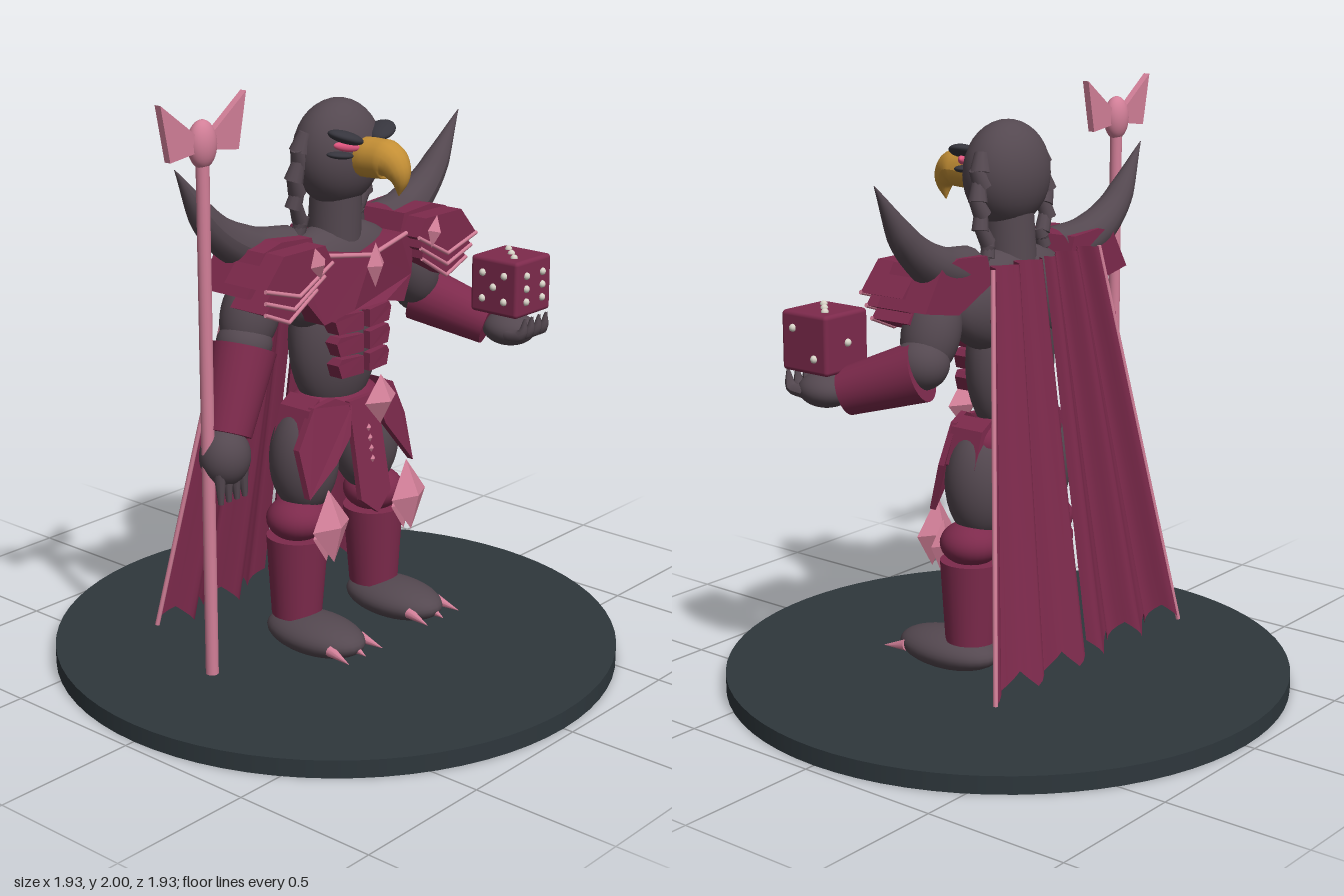
import * as THREE from 'three';
import { RoundedBoxGeometry } from 'three/addons/geometries/RoundedBoxGeometry.js';

const mat = (name, color, side = THREE.FrontSide) => {
  const m = new THREE.MeshStandardMaterial({ color, side });
  m.name = name;
  return m;
};
const V = (p) => new THREE.Vector3(...p);

export function createModel() {
  const root = new THREE.Group();
  root.name = 'figure';
  const skin = mat('charcoal skin', 0x544850);
  const crimson = mat('crimson', 0x7d2a4c, THREE.DoubleSide);
  const pink = mat('rose', 0xd27f98);
  const gold = mat('golden beak', 0xc48f35);
  const slate = mat('slate', 0x2e373c);
  const brow = mat('dark brow', 0x36353d);
  const eye = mat('bright pink', 0xe0557f);
  const white = mat('ivory', 0xd9d4c8);

  const add = (name, geo, m, pos = [0, 0, 0], rot = [0, 0, 0]) => {
    const mesh = new THREE.Mesh(geo, m);
    mesh.name = name;
    mesh.position.set(...pos);
    mesh.rotation.set(...rot);
    root.add(mesh);
    return mesh;
  };
  const ball = (name, m, pos, radii, rot) =>
    add(name, new THREE.SphereGeometry(1, 28, 18).scale(...radii), m, pos, rot);
  const gem = (name, pos, radii, rot) =>
    add(name, new THREE.OctahedronGeometry(1).scale(...radii), pink, pos, rot);
  // Tapered cylinder from a to b
  const limb = (name, m, a, b, ra, rb, sides = 24) => {
    const A = V(a), B = V(b), d = B.clone().sub(A);
    const mesh = add(name, new THREE.CylinderGeometry(rb, ra, d.length(), sides), m);
    mesh.position.copy(A).lerp(B, 0.5);
    mesh.quaternion.setFromUnitVectors(new THREE.Vector3(0, 1, 0), d.normalize());
    return mesh;
  };
  // Tube along a curve with changing radius
  const horn = (name, m, pts, radii, n = 20, sides = 16) => {
    const curve = new THREE.CatmullRomCurve3(pts.map(V));
    const geo = new THREE.TubeGeometry(curve, n, 1, sides);
    const p = geo.attributes.position, v = new THREE.Vector3();
    for (let i = 0; i <= n; i++) {
      const c = curve.getPointAt(i / n), t = (i / n) * (radii.length - 1);
      const k = Math.min(Math.floor(t), radii.length - 2);
      const r = THREE.MathUtils.lerp(radii[k], radii[k + 1], t - k);
      for (let j = 0; j <= sides; j++) {
        const q = i * (sides + 1) + j;
        v.fromBufferAttribute(p, q).sub(c).multiplyScalar(r).add(c);
        p.setXYZ(q, v.x, v.y, v.z);
      }
    }
    geo.computeVertexNormals();
    return add(name, geo, m);
  };
  // Flat outline given depth from z0 to z1
  const plate = (name, m, pts, z0, z1, s = 1, zRule = null) => {
    const shape = new THREE.Shape(pts.map(([x, y]) => new THREE.Vector2(x * s, y)));
    const geo = new THREE.ExtrudeGeometry(shape, { depth: z1 - z0, bevelEnabled: false });
    geo.translate(0, 0, z0);
    if (zRule) {
      const p = geo.attributes.position;
      for (let i = 0; i < p.count; i++) p.setZ(i, p.getZ(i) + zRule(p.getX(i), p.getY(i)));
      geo.computeVertexNormals();
    }
    return add(name, geo, m);
  };

  // Base
  add('base', new THREE.CylinderGeometry(0.965, 0.965, 0.06, 72), slate, [0, 0.03, 0]);

  // Torso, neck and head
  ball('belly', skin, [0, 1.12, -0.01], [0.185, 0.27, 0.12]);
  ball('chest', skin, [0, 1.33, -0.01], [0.3, 0.18, 0.125]);
  ball('pelvis', crimson, [0, 0.87, -0.02], [0.22, 0.1, 0.12]);
  limb('neck', skin, [0, 1.42, -0.01], [0, 1.62, 0], 0.09, 0.085);
  ball('head', skin, [0, 1.74, 0.005], [0.165, 0.175, 0.13]);
  horn('beak', gold, [[0, 1.735, 0.08], [0, 1.74, 0.17], [0, 1.735, 0.235], [0, 1.69, 0.268], [0, 1.63, 0.265]],
    [0.062, 0.066, 0.064, 0.04, 0.001], 24);

  // Chest armour, trim and stomach plates
  const bend = (x) => -0.7 * x * x;
  plate('chestPlate', crimson, [[0, 1.42], [0.17, 1.45], [0.29, 1.45], [0.26, 1.3], [0.2, 1.22], [0.08, 1.25],
    [0, 1.24], [-0.08, 1.25], [-0.2, 1.22], [-0.26, 1.3], [-0.29, 1.45], [-0.17, 1.45]], 0.03, 0.155, 1, bend);
  gem('chestGem', [0, 1.39, 0.17], [0.042, 0.075, 0.03]);

  for (const s of [-1, 1]) {
    limb('collarTrim', pink, [0, 1.42, 0.155], [s * 0.21, 1.45, 0.125], 0.008, 0.008, 8);
    for (let i = 0; i < 3; i++) {
      const y = 1.2 - i * 0.075, w = 0.14 - i * 0.006;
      plate('stomachPlate', crimson, [[0.015, y + 0.03], [w - 0.015, y + 0.035], [w, y + 0.015], [w - 0.015, y - 0.03],
        [0.015, y - 0.03]], 0.05, 0.135, s, bend);
    }

    // Face
    ball('brow', brow, [s * 0.088, 1.812, 0.118], [0.062, 0.02, 0.045], [0, s * 0.45, s * 0.3]);
    ball('cheekRidge', brow, [s * 0.1, 1.755, 0.105], [0.045, 0.012, 0.03], [0, s * 0.5, s * 0.1]);
    ball('eye', eye, [s * 0.085, 1.782, 0.12], [0.045, 0.016, 0.014], [0, s * 0.5, s * 0.15]);

    // Braids made of tapering locks
    for (let i = 0; i < 7; i++) {
      const t = i / 6;
      const x = 0.15 + 0.03 * Math.sin(t * Math.PI) - 0.01 * t;
      add('braidLock', new THREE.CylinderGeometry(0.022, 0.036 - 0.012 * t, 0.065, 10), skin,
        [s * x, 1.79 - 0.275 * t, -0.01 - 0.02 * t], [0.15, 0, s * (i % 2 ? -0.45 : 0.25)]);
    }
    limb('braidTip', skin, [s * 0.14, 1.52, -0.03], [s * 0.165, 1.45, -0.035], 0.026, 0.003, 10);

    // Shoulder horns
    horn('shoulderHorn', skin, [[s * 0.24, 1.45, -0.01], [s * 0.38, 1.48, -0.03], [s * 0.53, 1.57, -0.04],
      [s * 0.69, 1.78, -0.04]], [0.085, 0.07, 0.045, 0.001], 24);

    // Layered pauldrons with trimmed chevron edges
    plate('pauldronTop', crimson, [[0.2, 1.42], [0.23, 1.51], [0.37, 1.52], [0.45, 1.5], [0.53, 1.37],
      [0.37, 1.34]], -0.1, 0.1, s);
    for (let i = 0; i < 3; i++) {
      const d = 0.042 * i, e = 0.012 * i, z = 0.175 - 0.012 * i;
      const outer = [0.525 - e, 1.405 - d], mid = [0.37 + e, 1.36 - d], inner = [0.215 + 2 * e, 1.44 - d];
      plate('pauldronLayer', crimson, [inner, [0.25 + e, 1.5 - d], [0.44 - e, 1.5 - d], outer, mid], 0.0, z, s);
      limb('pauldronTrim', pink, [s * inner[0], inner[1], z], [s * mid[0], mid[1], z], 0.007, 0.007, 8);
      limb('pauldronTrim', pink, [s * mid[0], mid[1], z], [s * outer[0], outer[1], z], 0.007, 0.007, 8);
    }
    gem('pauldronGem', [s * 0.29, 1.45, 0.18], [0.035, 0.055, 0.028], [0, 0, s * -0.25]);
    ball('upperArm', skin, [s * 0.4, 1.28, -0.01], [0.095, 0.15, 0.095], [0, 0, s * 0.35]);

    // Hip skirt panels
    plate('skirtPanel', crimson, [[0.06, 0.92], [0.12, 0.95], [0.2, 0.93], [0.27, 0.8], [0.265, 0.64], [0.16, 0.74],
      [0.09, 0.82]], 0.1, 0.125, s, (x, y) => -1.1 * x * x + (0.93 - y) * 0.25);
    plate('hipGuard', crimson, [[0.16, 0.95], [0.21, 0.92], [0.25, 0.8], [0.2, 0.76]], -0.06, 0.07, s);

    // Legs
    ball('thigh', skin, [s * 0.155, 0.73, -0.005], [0.12, 0.19, 0.115]);
    ball('kneePad', crimson, [s * 0.195, 0.53, 0], [0.105, 0.075, 0.105]);
    limb('shinGuard', crimson, [s * 0.2, 0.19, 0], [s * 0.195, 0.47, 0], 0.085, 0.105);
    gem('kneeGem', [s * 0.2, 0.54, 0.155], [0.09, 0.125, 0.045], [-0.1, 0, 0]);
    gem('kneeGemBack', [s * 0.2, 0.5, 0.125], [0.055, 0.09, 0.025], [-0.1, 0, 0]);
    ball('foot', skin, [s * 0.205, 0.143, 0.09], [0.115, 0.066, 0.197]);
    for (const k of [-1, 0, 1])
      limb('toeClaw', pink, [s * 0.205 + k * 0.075, 0.14, 0.22 + (k ? 0 : 0.03)],
        [s * 0.205 + k * 0.085, 0.122, 0.31], 0.02, 0.001, 10);
  }

  // Central loin cloth and belt gem
  plate('loinCloth', crimson, [[-0.07, 0.93], [0.07, 0.93], [0.075, 0.6], [0, 0.54], [-0.075, 0.6]], 0.1, 0.12, 1,
    (x, y) => (0.93 - y) * 0.18);
  gem('beltGem', [0, 0.94, 0.195], [0.078, 0.085, 0.045]);
  for (let i = 0; i < 4; i++)
    gem('clothStud', [0, 0.83 - i * 0.035, 0.145 + i * 0.006], [0.012, 0.014, 0.008]);

  // Right arm, hanging beside the staff
  limb('rightForearm', crimson, [-0.565, 0.93, 0.04], [-0.45, 1.18, 0.01], 0.08, 0.105);
  ball('rightElbow', skin, [-0.44, 1.19, 0], [0.09, 0.08, 0.09]);
  ball('rightHand', skin, [-0.58, 0.86, 0.045], [0.085, 0.095, 0.08]);
  for (let i = 0; i < 4; i++)
    limb('rightFinger', skin, [-0.63 + i * 0.033, 0.83, 0.07], [-0.632 + i * 0.036, 0.72, 0.075], 0.022, 0.009, 10);

  // Staff with winged tip
  limb('staffPole', pink, [-0.64, 0.13, 0.03], [-0.64, 1.83, 0.03], 0.021, 0.021, 16);
  ball('staffKnob', pink, [-0.64, 1.86, 0.03], [0.05, 0.075, 0.04]);
  for (const s of [-1, 1])
    plate('staffWing', pink, [[0.02, 1.88], [0.045, 1.9], [0.18, 2.0], [0.145, 1.825], [0.03, 1.84]], 0.018, 0.042, s)
      .position.x = -0.64;

  // Left arm, reaching forward under the die
  ball('leftElbow', skin, [0.46, 1.19, -0.02], [0.09, 0.085, 0.09]);
  limb('leftForearm', crimson, [0.47, 1.17, -0.03], [0.56, 1.085, 0.21], 0.1, 0.078);
  ball('leftHand', skin, [0.565, 1.08, 0.295], [0.085, 0.058, 0.095]);
  for (let i = 0; i < 4; i++) {
    const x = 0.505 + i * 0.04;
    horn('leftFinger', skin, [[x, 1.075, 0.33], [x, 1.085, 0.39], [x, 1.145, 0.405]], [0.022, 0.02, 0.004], 8, 8);
  }

  // Die with raised pips
  const C = [0.56, 1.245, 0.3], h = 0.098, q = 0.045;
  add('die', new RoundedBoxGeometry(0.196, 0.196, 0.196, 3, 0.014), crimson, C);
  const columns = [-1, 0, 1].flatMap((b) => [[-1, b], [1, b]]);
  const corners = [[-1, -1], [1, 1], [-1, 1], [1, -1]];
  const faces = [
    [columns, (a, b) => [a, b, h]], [[[0, 0]], (a, b) => [a, b, -h]],
    [[[-1, 1], [0, 0], [1, -1]], (a, b) => [a, h, b]], [corners, (a, b) => [a, -h, b]],
    [[[-1, 1], [1, -1]], (a, b) => [h, b, -a]], [[...corners, [0, 0]], (a, b) => [-h, b, a]],
  ];
  const pipGeo = new THREE.SphereGeometry(0.013, 10, 8);
  for (const [spots, place] of faces)
    for (const [a, b] of spots) add('pip', pipGeo, white, place(a * q, b * q).map((c, i) => c + C[i]));

  // Pleated cape halves with a ragged hem and trimmed outer edge
  const capePoint = (s, u, v) => {
    const tooth = Math.abs(((u * 4.5) % 1) * 2 - 1);
    const hem = 0.14 + 0.06 * (u === 1 ? 0 : tooth);
    const x = THREE.MathUtils.lerp(0.012, THREE.MathUtils.lerp(0.28, 0.51, v), u);
    const fold = Math.sin(u * Math.PI * 4.5) * 0.8 + Math.sin(u * Math.PI * 9) * 0.25;
    return [s * x, THREE.MathUtils.lerp(1.48, hem, v), -0.14 - 0.185 * v - fold * (0.03 + 0.012 * v)];
  };
  for (const s of [-1, 1]) {
    const geo = new THREE.PlaneGeometry(1, 1, 36, 12);
    const p = geo.attributes.position, uv = geo.attributes.uv;
    for (let i = 0; i < p.count; i++) {
      const u = s > 0 ? uv.getX(i) : 1 - uv.getX(i);
      p.setXYZ(i, ...capePoint(s, u, 1 - uv.getY(i)));
    }
    geo.computeVertexNormals();
    add('cape', geo, crimson);
    limb('capeTrim', pink, capePoint(s, 1, 1), capePoint(s, 1, 0), 0.008, 0.008, 8);
  }
  return root;
}
